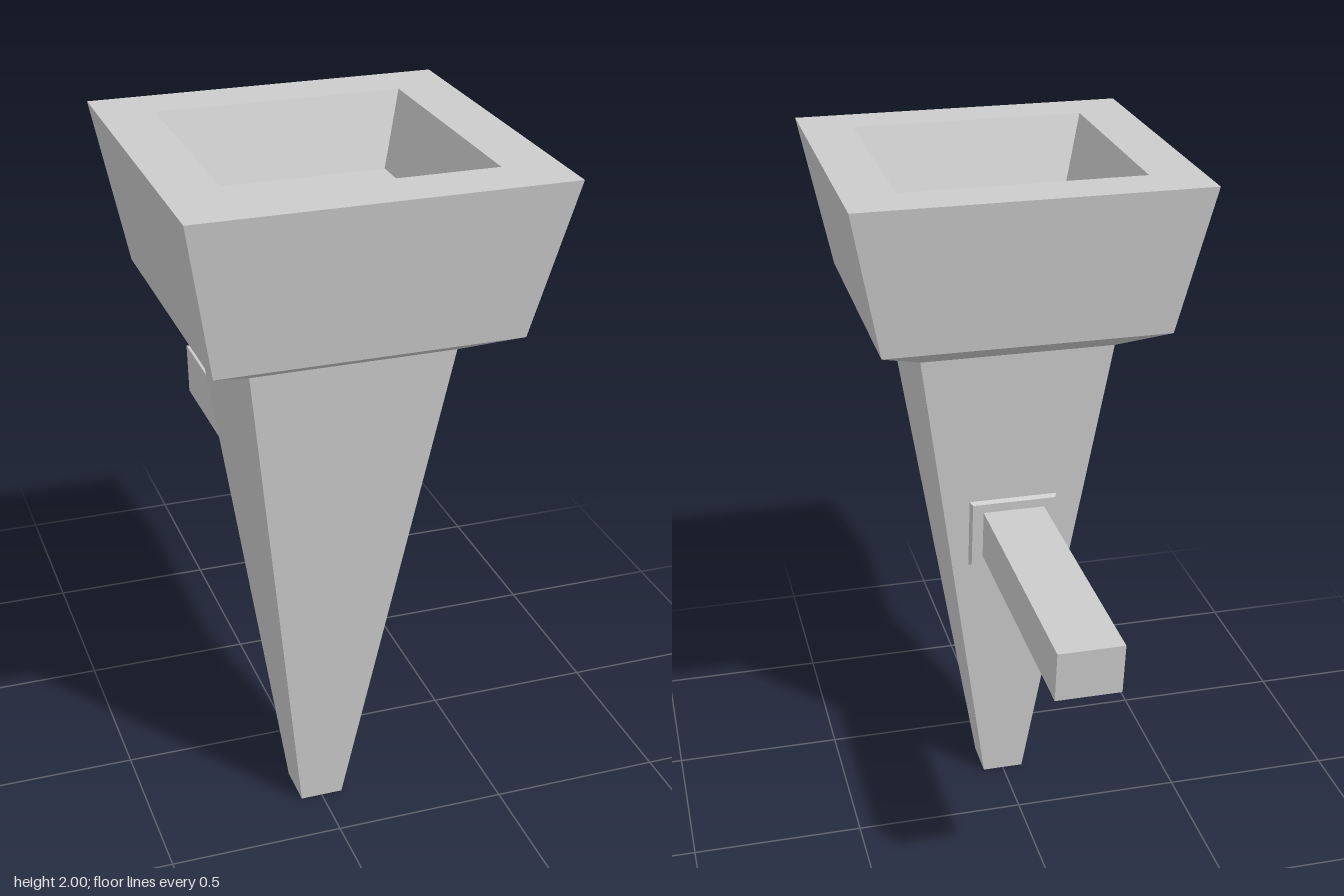
import * as THREE from 'three';

const AXIS_Z = 0.275; // the post stands forward of the centre
const SLOPE = 0.1415; // slope of the post's faces
const BAR_Y = 0.925; // height of the bar's centre

const material = new THREE.MeshStandardMaterial({ color: 0xcccccc, flatShading: true });

function addPart(group, name, geometry) {
  const flat = geometry.toNonIndexed();
  flat.computeVertexNormals();
  const mesh = new THREE.Mesh(flat, material);
  mesh.name = name;
  group.add(mesh);
  return mesh;
}

// Square solid from a profile of [half width, height], running outward and up
function squareTurned(profile) {
  const points = profile.map(([half, y]) => new THREE.Vector2(half * Math.SQRT2, y));
  return new THREE.LatheGeometry(points, 4, Math.PI / 4);
}

// Box sheared to follow the post's sloping back; its back end can be narrowed
function slopedBox(width, height, zFront, zBack, bevel = 0) {
  const geometry = new THREE.BoxGeometry(width, height, zFront - zBack);
  const p = geometry.attributes.position;
  for (let i = 0; i < p.count; i++) {
    const inset = p.getZ(i) < 0 ? bevel : 0;
    const x = p.getX(i) - Math.sign(p.getX(i)) * inset;
    const y = p.getY(i) - Math.sign(p.getY(i)) * inset;
    p.setXYZ(i, x, y + BAR_Y, p.getZ(i) + (zFront + zBack) / 2 - y * SLOPE);
  }
  return geometry;
}

export function createModel() {
  const group = new THREE.Group();
  group.name = 'wallTorch';

  // Tapering post
  const post = addPart(group, 'post', squareTurned([[0, 0], [0.062, 0], [0.275, 1.505]]));
  post.position.z = AXIS_Z;

  // Flared cup with a bevelled underside and a sunken floor
  const cup = addPart(group, 'cup', squareTurned([
    [0.275, 1.505], [0.402, 1.575], [0.485, 2], [0.338, 2], [0.282, 1.8], [0, 1.8],
  ]));
  cup.position.z = AXIS_Z;

  // Mounting plate on the back of the post, and the bar reaching backwards
  addPart(group, 'mountingPlate', slopedBox(0.26, 0.222, 0.085, 0.067, 0.008));
  addPart(group, 'mountingBar', slopedBox(0.18, 0.15, 0.08, -0.749));

  return group;
}
